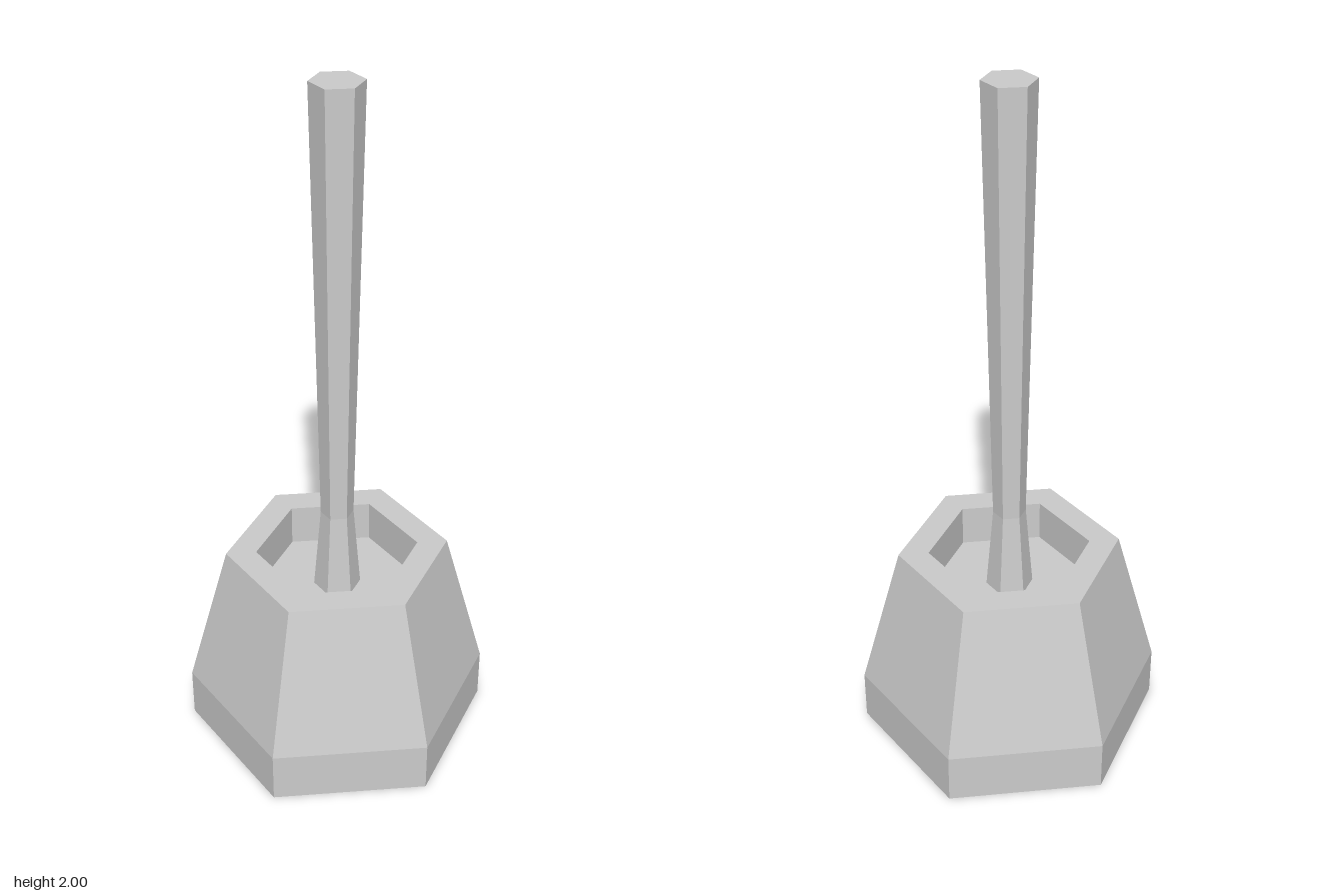
import * as THREE from 'three';

// Six-sided turned solid, corners on the x axis; profile is [radius, y] pairs from bottom to top
function hexSolid(name, profile, material) {
  const points = profile.map(([r, y]) => new THREE.Vector2(r, y));
  const geometry = new THREE.LatheGeometry(points, 6, Math.PI / 2).toNonIndexed();
  geometry.computeVertexNormals();
  const mesh = new THREE.Mesh(geometry, material);
  mesh.name = name;
  return mesh;
}

export function createModel() {
  const group = new THREE.Group();
  group.name = 'brushAndHolder';
  const grey = new THREE.MeshStandardMaterial({ color: 0xcccccc, flatShading: true });
  const floorY = 0.475;

  // Holder: straight foot, tapered body, flat rim and a shallow well
  group.add(hexSolid('holder', [
    [0, 0], [0.443, 0], [0.443, 0.155], [0.322, 0.6],
    [0.235, 0.6], [0.235, floorY], [0, floorY],
  ], grey));

  // Handle: flared foot standing in the well, narrow neck, widening to a flat top
  group.add(hexSolid('handle', [
    [0.068, floorY], [0.047, 0.73], [0.072, 2], [0, 2],
  ], grey));

  return group;
}
